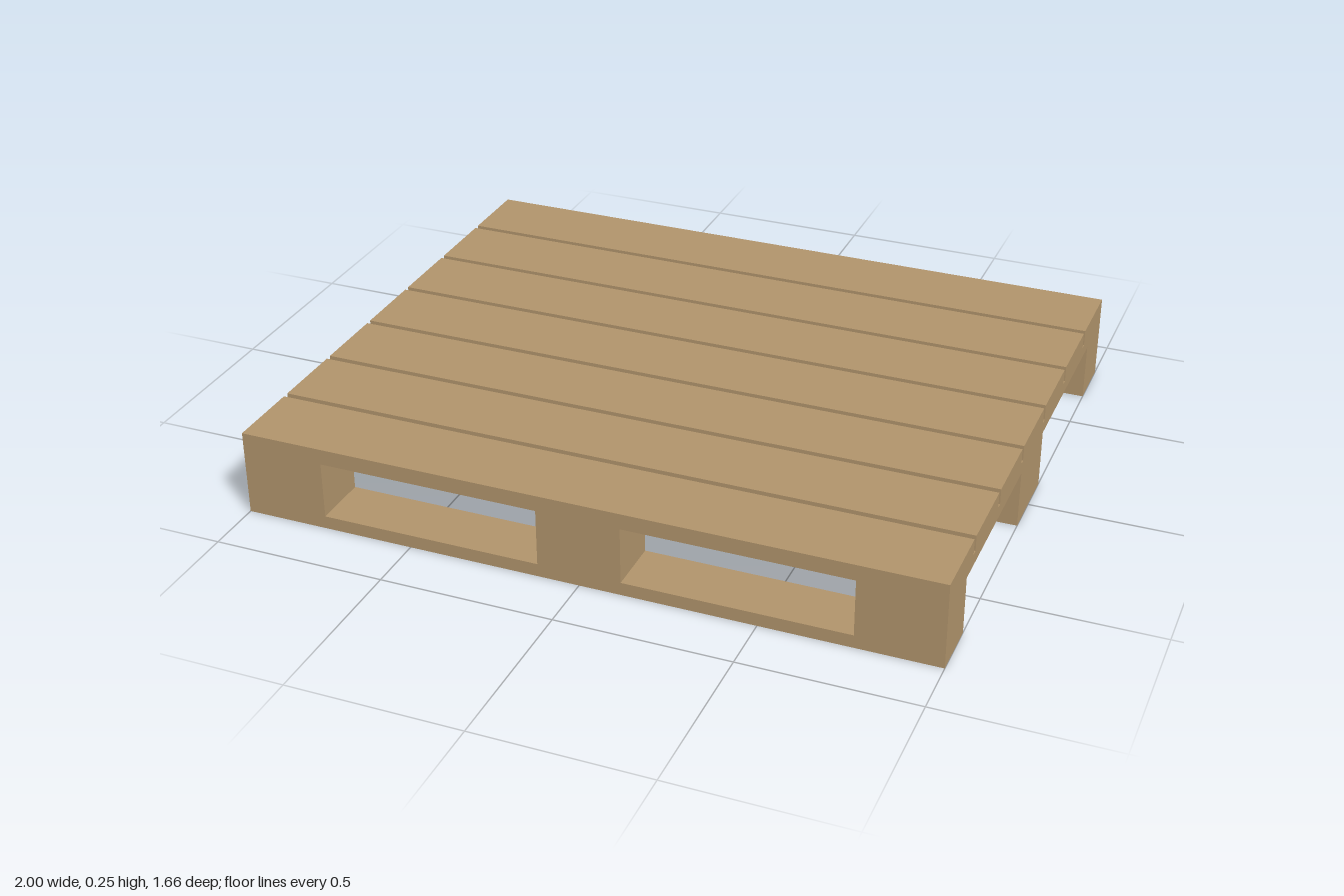
import * as THREE from 'three';

export function createModel() {
  const pallet = new THREE.Group();
  pallet.name = 'pallet';
  const wood = new THREE.MeshStandardMaterial({ color: 0xb0936b });
  wood.name = 'wood';

  // Plank or block standing on height y0, centred on x and z
  function addBox(name, w, y0, y1, d, x, z) {
    const mesh = new THREE.Mesh(new THREE.BoxGeometry(w, y1 - y0, d), wood);
    mesh.name = name;
    mesh.position.set(x, (y0 + y1) / 2, z);
    pallet.add(mesh);
  }

  const columns = [-0.88, 0, 0.88];
  const rows = [
    { z: -0.748, depth: 0.166 },
    { z: 0, depth: 0.238 },
    { z: 0.748, depth: 0.166 },
  ];

  // Seven deck boards running along x
  for (let i = -3; i <= 3; i++) addBox('deckBoard', 2, 0.204, 0.25, 0.222, 0, i * 0.24);

  // Three cross boards under the deck
  for (const x of columns) addBox('crossBoard', 0.24, 0.168, 0.204, 1.662, x, 0);

  // Three runners, each carrying three blocks
  for (const { z, depth } of rows) {
    addBox('bottomRunner', 2, 0, 0.038, depth, 0, z);
    for (const x of columns) addBox('spacerBlock', 0.24, 0.038, 0.168, depth, x, z);
  }
  return pallet;
}
